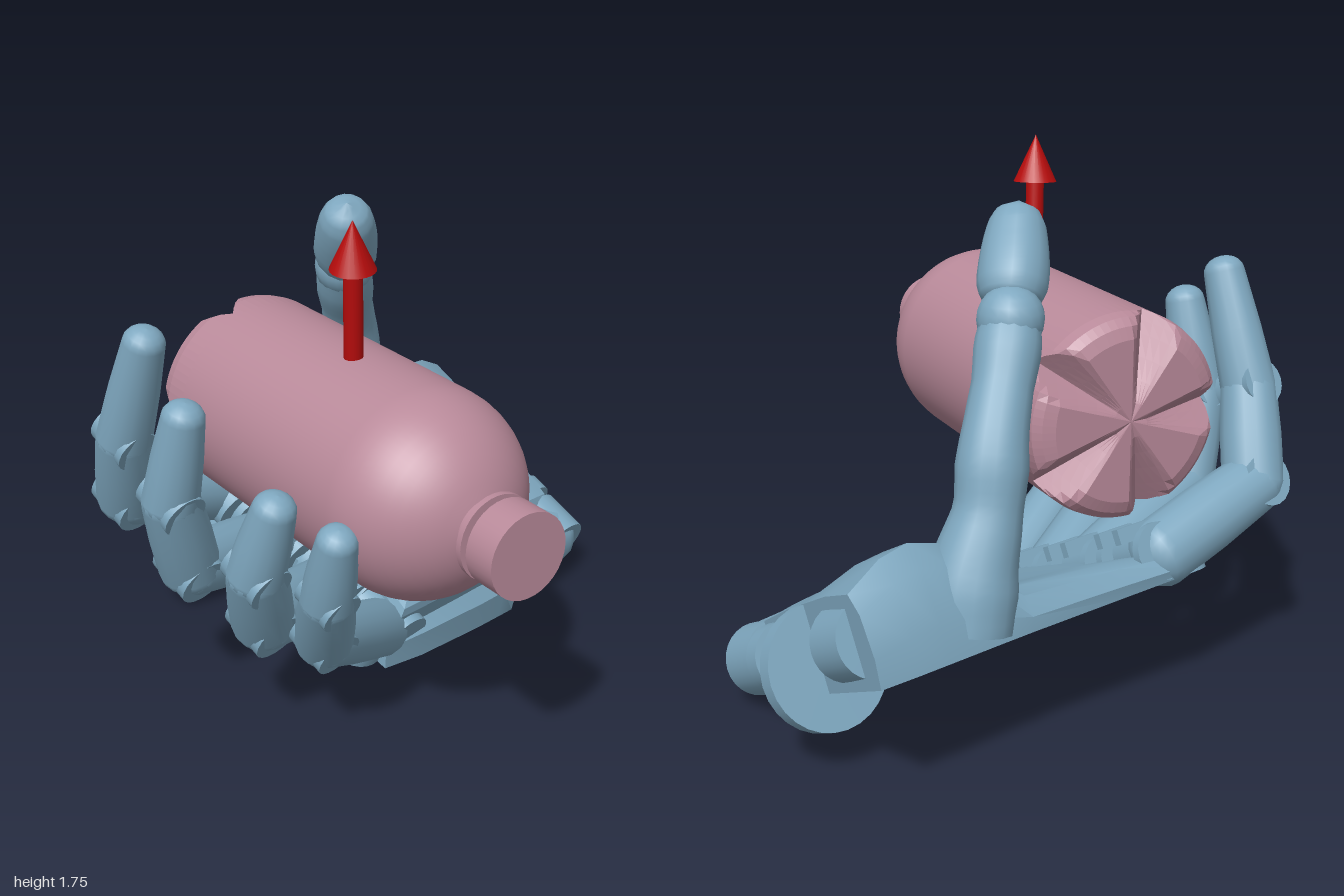
import * as THREE from 'three';
import { toCreasedNormals } from 'three/addons/utils/BufferGeometryUtils.js';

const V = (x, y, z) => new THREE.Vector3(x, y, z);
const skin = new THREE.MeshStandardMaterial({ color: 0x7fa8c0 });
const pink = new THREE.MeshStandardMaterial({ color: 0xb98a9a });
const pinkFlat = new THREE.MeshStandardMaterial({ color: 0xb98a9a, flatShading: true });
const red = new THREE.MeshStandardMaterial({ color: 0xb80c0c });

function add(parent, name, geometry, material) {
  const mesh = new THREE.Mesh(geometry, material);
  mesh.name = name;
  parent.add(mesh);
  return mesh;
}

// Skin a list of closed rings (each a list of Vector3) and cap both ends
function loft(rings) {
  const n = rings[0].length, pos = [], idx = [];
  rings.forEach(r => r.forEach(p => pos.push(p.x, p.y, p.z)));
  for (let i = 0; i < rings.length - 1; i++) for (let j = 0; j < n; j++) {
    const a = i * n + j, b = i * n + (j + 1) % n;
    idx.push(a, b, b + n, a, b + n, a + n);
  }
  [0, rings.length - 1].forEach((k, end) => {
    const c = rings[k].reduce((s, p) => s.add(p), V(0, 0, 0)).divideScalar(n);
    pos.push(c.x, c.y, c.z);
    const ci = pos.length / 3 - 1;
    for (let j = 0; j < n; j++) {
      const a = k * n + j, b = k * n + (j + 1) % n;
      idx.push(ci, end ? a : b, end ? b : a);
    }
  });
  const g = new THREE.BufferGeometry();
  g.setAttribute('position', new THREE.Float32BufferAttribute(pos, 3));
  g.setIndex(idx);
  return toCreasedNormals(g, 0.6);
}

// Round-ended tapered link from a to b
function link(parent, name, a, b, ra, rb) {
  const len = a.distanceTo(b), pts = [];
  for (let i = 0; i <= 5; i++) {
    const t = i / 5 * Math.PI / 2;
    pts.push(new THREE.Vector2(ra * Math.sin(t), -ra * 0.8 * Math.cos(t)));
  }
  pts.push(new THREE.Vector2((ra + rb) * 0.52, len * 0.5));
  for (let i = 0; i <= 5; i++) {
    const t = i / 5 * Math.PI / 2;
    pts.push(new THREE.Vector2(rb * Math.cos(t), len + rb * 0.8 * Math.sin(t)));
  }
  const m = add(parent, name, new THREE.LatheGeometry(pts, 16), skin);
  m.position.copy(a);
  m.quaternion.setFromUnitVectors(V(0, 1, 0), b.clone().sub(a).normalize());
}

// Tube along a curve whose radius follows a list of values
function limb(points, radii) {
  const curve = new THREE.CatmullRomCurve3(points), n = 28, sides = 16;
  const g = new THREE.TubeGeometry(curve, n, 1, sides, false), p = g.attributes.position;
  const v = V(0, 0, 0);
  for (let i = 0; i <= n; i++) {
    const c = curve.getPointAt(i / n), f = i / n * (radii.length - 1);
    const k = Math.min(Math.floor(f), radii.length - 2);
    const r = THREE.MathUtils.lerp(radii[k], radii[k + 1], f - k);
    for (let j = 0; j <= sides; j++) {
      const q = i * (sides + 1) + j;
      v.fromBufferAttribute(p, q).sub(c).multiplyScalar(r).add(c);
      p.setXYZ(q, v.x, v.y, v.z);
    }
  }
  return toCreasedNormals(g, 1.2);
}

function buildBottle() {
  const bottle = new THREE.Group();
  bottle.name = 'bottle';
  bottle.position.set(-0.31, 0.95, 0);
  const R = 0.343;
  const lathe = pairs => new THREE.LatheGeometry(
    pairs.map(([r, z]) => new THREE.Vector2(r, z)), 80).rotateX(Math.PI / 2);

  // Petal base: five V notches cut upward from the rim
  const base = lathe([[0, -0.57], [0.06, -0.57], [0.13, -0.57], [0.2, -0.57], [0.27, -0.57],
    [0.31, -0.555], [0.335, -0.53], [R, -0.49], [R, -0.45], [R, -0.4]]);
  const p = base.attributes.position;
  for (let i = 0; i < p.count; i++) {
    const r = Math.hypot(p.getX(i), p.getY(i));
    const turn = (Math.atan2(p.getY(i), p.getX(i)) - 0.2 * Math.PI) / (0.4 * Math.PI);
    const off = Math.abs(turn - Math.round(turn)) * 0.4 * Math.PI;
    const cut = Math.max(0, 1 - off / 0.29) * Math.max(0, r - 0.04) * 0.45;
    p.setZ(i, Math.max(p.getZ(i), -0.57 + cut));
  }
  add(bottle, 'bottleBase', base, pinkFlat);

  // Straight wall and round shoulder
  const wall = [[R, -0.4], [R, 0.47]];
  for (let i = 1; i <= 10; i++) {
    const t = i / 10 * 1.275;
    wall.push([R * Math.cos(t), 0.47 + R * Math.sin(t)]);
  }
  add(bottle, 'bottleBody', lathe(wall), pink);

  // Neck, collar ring and cap
  [['neck', 0.1, 0.78, 0.89], ['collar', 0.138, 0.84, 0.86], ['cap', 0.138, 0.885, 1.0]]
    .forEach(([name, r, z0, z1]) => {
      const g = new THREE.CylinderGeometry(r, r, z1 - z0, 32).rotateX(Math.PI / 2);
      add(bottle, name, g, pink).position.z = (z0 + z1) / 2;
    });
  return bottle;
}

function buildArrow() {
  const arrow = new THREE.Group();
  arrow.name = 'arrow';
  const a = V(-0.325, 1.2, 0.15), tip = V(-0.355, 1.75, 0.2);
  arrow.position.copy(a);
  arrow.quaternion.setFromUnitVectors(V(0, 1, 0), tip.clone().sub(a).normalize());
  const len = a.distanceTo(tip);
  add(arrow, 'arrowShaft', new THREE.CylinderGeometry(0.031, 0.031, len - 0.15, 20), red)
    .position.y = (len - 0.15) / 2;
  add(arrow, 'arrowHead', new THREE.ConeGeometry(0.074, 0.16, 24), red).position.y = len - 0.08;
  return arrow;
}

// Palm frame: x runs to the wrist, y across to the thumb side, z out of the palm
function buildPalm() {
  const palm = new THREE.Group();
  palm.name = 'palm';
  const u = V(0.98, -0.04, -0.19).normalize();
  const n = V(0.12, 0.9, 0.43).addScaledVector(u, -u.dot(V(0.12, 0.9, 0.43))).normalize();
  const v = n.clone().cross(u);
  palm.quaternion.setFromRotationMatrix(new THREE.Matrix4().makeBasis(u, v, n));
  palm.position.set(0.5, 0, -0.02);

  // Shell: station, near and far edge, heights on the little-finger side, middle and thumb side, skew
  const rings = [[-0.67, 0.03, 1, 0.15, 0.11, 0.09, -0.14], [-0.5, 0.01, 1, 0.2, 0.15, 0.12, -0.05],
    [-0.2, 0, 1, 0.22, 0.17, 0.15, 0.02], [-0.08, 0, 1.01, 0.23, 0.2, 0.26, 0.03],
    [0.0, 0, 1.02, 0.25, 0.24, 0.35, 0.04], [0.1, 0.07, 1.03, 0.27, 0.28, 0.38, 0.05],
    [0.2, 0.09, 1.04, 0.27, 0.3, 0.36, 0.06], [0.31, 0.1, 1.04, 0.25, 0.28, 0.29, 0.08]]
    .map(([s, t0, t1, a, m, b, skew]) =>
      [[0, 0], [0.98, 0], [1, b * 0.3], [0.985, b * 0.75], [0.94, b * 0.97], [0.76, b * 0.8 + m * 0.2],
        [0.58, m], [0.4, m * 0.7 + a * 0.3], [0.17, a], [0.03, a * 0.5]]
        .map(([t, h]) => V(s + skew * t, t0 + (t1 - t0) * t, h)));
  add(palm, 'palmShell', loft(rings), skin);

  // Raised hooked plate along the little-finger side
  const shape = new THREE.Shape([[-0.6, 0.12], [-0.02, 0.12], [0.0, 0.22], [-0.12, 0.37], [-0.07, 0.48],
    [-0.14, 0.52], [-0.26, 0.38], [-0.56, 0.36]].map(([x, y]) => new THREE.Vector2(x, y)));
  const plate = new THREE.ExtrudeGeometry(shape,
    { depth: 0.15, bevelSize: 0.04, bevelThickness: 0.04, bevelSegments: 2 });
  add(palm, 'sidePlate', plate, skin).position.z = 0.06;

  // Wrist lugs: station, across, height, radius, width
  [[0.3, 0.17, 0.13, 0.12, 0.17], [0.33, 0.33, 0.13, 0.11, 0.07], [0.33, 0.6, 0.08, 0.2, 0.06],
    [0.32, 0.85, 0.14, 0.12, 0.17]].forEach(([s, t, h, r, w]) =>
    add(palm, 'wristLug', new THREE.CylinderGeometry(r, r, w, 28), skin).position.set(s, t, h));
  link(palm, 'wristSideBar', V(0.06, 0.15, 0.13), V(0.3, 0.16, 0.13), 0.13, 0.12);

  // Rounded lobe under each knuckle, then its barrel with thin hinge ears
  [[-0.63, 0.17], [-0.7, 0.38], [-0.73, 0.63], [-0.77, 0.87]].forEach(([s, t]) => {
    add(palm, 'knuckleLobe', new THREE.CylinderGeometry(0.105, 0.105, 0.05, 24).rotateX(Math.PI / 2), skin)
      .position.set(s - 0.07, t, 0.025);
    add(palm, 'knuckleBarrel', new THREE.CylinderGeometry(0.095, 0.095, 0.15, 20), skin)
      .position.set(s, t, 0.1);
    [-0.1, 0.1].forEach(d => {
      add(palm, 'hingeEar', new THREE.CylinderGeometry(0.095, 0.095, 0.03, 20), skin)
        .position.set(s + 0.04, t + d, 0.1);
      add(palm, 'hingeHook', new THREE.BoxGeometry(0.14, 0.03, 0.05), skin)
        .position.set(s + 0.08, t + d * 0.5, 0.18);
    });
  });
  return palm;
}

// Each finger: knuckle, middle joint, end joint, tip
function buildFingers() {
  const fingers = new THREE.Group();
  fingers.name = 'fingers';
  const across = V(-0.154, 0.444, -0.887).normalize();
  const table = {
    littleFinger: [[-0.15, 0.18, 0.03], [-0.55, 0.41, 0.29], [-0.65, 0.68, 0.47], [-0.67, 0.92, 0.56]],
    ringFinger: [[-0.26, 0.28, -0.17], [-0.68, 0.45, 0.13], [-0.78, 0.72, 0.27], [-0.76, 0.97, 0.36]],
    middleFinger: [[-0.31, 0.4, -0.4], [-0.77, 0.54, -0.18], [-0.87, 0.85, -0.09], [-0.85, 1.16, -0.01]],
    indexFinger: [[-0.38, 0.52, -0.65], [-0.8, 0.66, -0.55], [-0.86, 0.95, -0.41], [-0.835, 1.32, -0.27]]
  };
  for (const [name, list] of Object.entries(table)) {
    const f = new THREE.Group(), p = list.map(c => V(...c));
    f.name = name;
    const k = name === 'littleFinger' ? 0.92 : 1;
    link(f, 'lowerPhalanx', p[0], p[1], 0.115 * k, 0.105 * k);
    link(f, 'middlePhalanx', p[1], p[2], 0.105 * k, 0.095 * k);
    link(f, 'fingertip', p[2], p[3], 0.095 * k, 0.07 * k);
    [1, 2].forEach(i => {
      const r = (i === 1 ? 0.09 : 0.078) * k;
      const pin = add(f, 'jointPin', new THREE.CylinderGeometry(r, r, 0.18 * k - 0.01 * i, 18), skin);
      pin.position.copy(p[i]);
      pin.quaternion.setFromUnitVectors(V(0, 1, 0), across);
    });
    fingers.add(f);
  }
  return fingers;
}

function buildThumb() {
  const thumb = new THREE.Group();
  thumb.name = 'thumb';
  add(thumb, 'thumbLower', limb(
    [V(0.36, 0.46, -0.78), V(0.33, 0.62, -0.755), V(0.27, 0.8, -0.73), V(0.225, 1.0, -0.68),
      V(0.14, 1.2, -0.58), V(0.08, 1.34, -0.5)],
    [0.14, 0.145, 0.125, 0.105, 0.112, 0.1, 0.095, 0.105, 0.09]), skin);
  add(thumb, 'thumbKnuckle', new THREE.SphereGeometry(0.105, 18, 12), skin).position.set(0.095, 1.32, -0.52);
  add(thumb, 'thumbTip', limb(
    [V(0.085, 1.33, -0.49), V(0.04, 1.43, -0.425), V(0, 1.52, -0.36), V(-0.045, 1.63, -0.29)],
    [0.001, 0.095, 0.11, 0.112, 0.11, 0.106, 0.1, 0.092, 0.072, 0.001]), skin);
  return thumb;
}

export function createModel() {
  const model = new THREE.Group();
  model.name = 'handHoldingBottle';
  model.add(buildBottle(), buildArrow(), buildPalm(), buildFingers(), buildThumb());
  return model;
}
